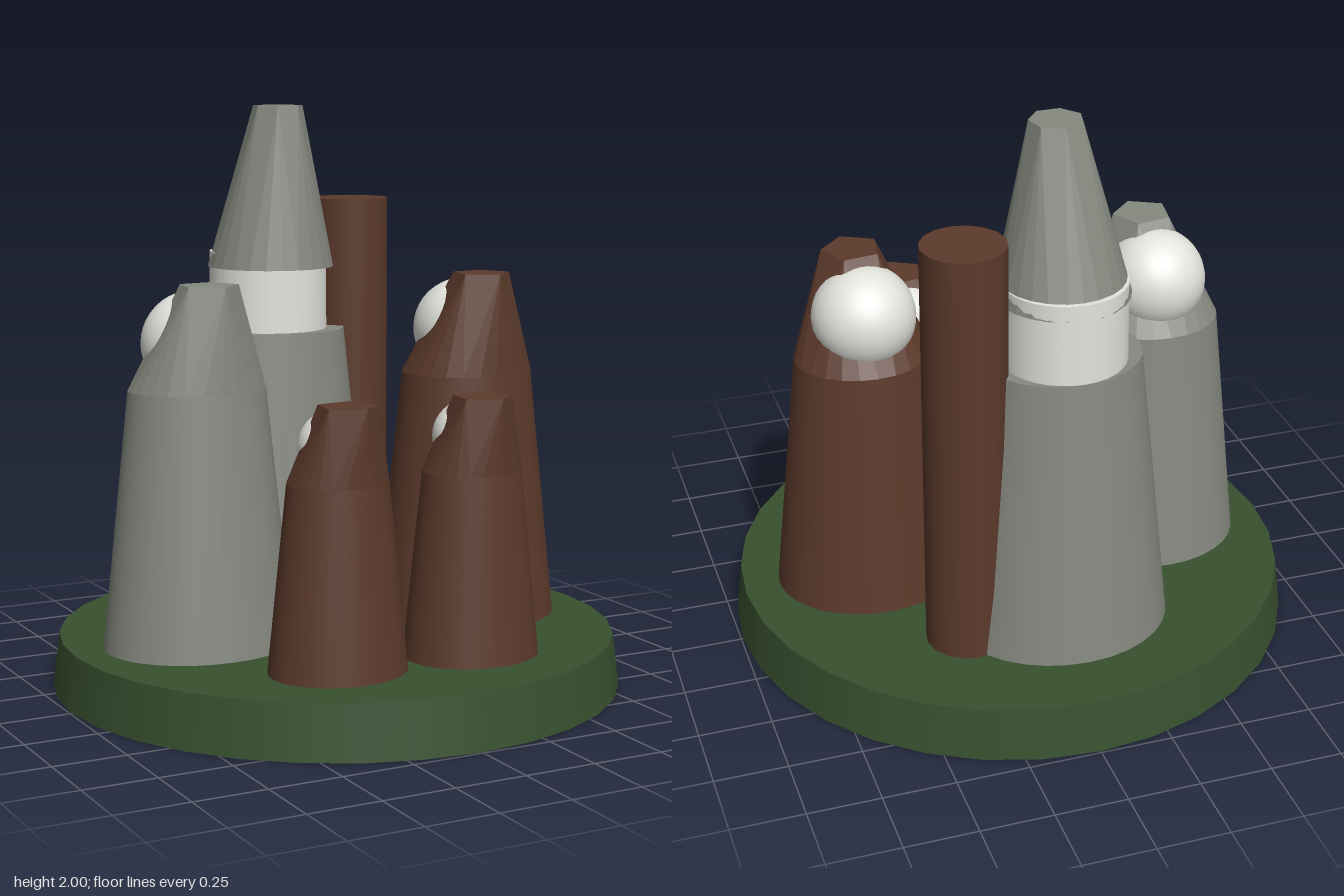
import * as THREE from 'three';
import { ConvexGeometry } from 'three/addons/geometries/ConvexGeometry.js';

const material = (name, color) => {
  const m = new THREE.MeshStandardMaterial({ color });
  m.name = name;
  return m;
};

export function createModel() {
  const green = material('moss green', 0x38512f);
  const brown = material('brown cloth', 0x5c3a2b);
  const grey = material('grey cloth', 0x868980);
  const white = material('pale head', 0xe4e4de);
  const GROUND = 0.185;

  const model = new THREE.Group();
  model.name = 'hoodedGroup';

  const add = (parent, name, geometry, mat, x = 0, y = 0, z = 0) => {
    const mesh = new THREE.Mesh(geometry, mat);
    mesh.name = name;
    mesh.position.set(x, y, z);
    parent.add(mesh);
    return mesh;
  };

  // Ring of points on an ellipse at one height
  const ring = (count, rx, rz, y, x = 0, z = 0, start = 0) =>
    Array.from({ length: count }, (_, i) => {
      const a = start + (i / count) * Math.PI * 2;
      return new THREE.Vector3(x + rx * Math.cos(a), y, z + rz * Math.sin(a));
    });

  // Tapered oval robe standing on the base
  const robe = (parent, mat, bottom, top, topY) => {
    const h = topY - GROUND;
    const mesh = add(parent, 'robe', new THREE.CylinderGeometry(top, bottom, h, 32), mat, 0, GROUND + h / 2, 0);
    mesh.scale.z = 0.86;
  };

  // Round base
  add(model, 'base', new THREE.CylinderGeometry(0.97, 0.993, GROUND, 32), green, 0, GROUND / 2, 0);

  // Hooded figures: the head pokes out of the back-leaning hood towards -z
  const hooded = (name, mat, x, z, d) => {
    const figure = new THREE.Group();
    figure.name = name;
    figure.position.set(x, 0, z);
    robe(figure, mat, d.bottom, d.top, d.seam);
    const points = [
      ...ring(24, d.top, d.top * 0.86, d.seam),
      ...ring(5, 0.103, 0.103, d.peak, 0.008, d.lean, 0.17),
    ];
    add(figure, 'hood', new ConvexGeometry(points), mat);
    add(figure, 'head', new THREE.SphereGeometry(d.head, 32, 20), white, 0, d.headY, d.headZ);
    model.add(figure);
  };
  const large = { bottom: 0.332, top: 0.238, seam: 1.065, peak: 1.42, lean: 0.085, head: 0.178, headY: 1.215, headZ: -0.025 };
  const small = { bottom: 0.237, top: 0.172, seam: 0.81, peak: 1.065, lean: 0.055, head: 0.122, headY: 0.922, headZ: -0.022 };
  hooded('greyFigure', grey, -0.527, 0, large);
  hooded('brownFigure', brown, 0.511, 0.027, large);
  hooded('smallFigureRight', brown, -0.268, 0.527, small);
  hooded('smallFigureLeft', brown, 0.229, 0.537, small);

  // Tall figure with a pointed hat
  const tall = new THREE.Group();
  tall.name = 'tallFigure';
  tall.position.set(-0.045, 0, -0.425);
  robe(tall, grey, 0.382, 0.272, 1.2);
  add(tall, 'head', new THREE.CylinderGeometry(0.21, 0.213, 0.4, 32), white, 0, 1.28, -0.02);
  add(tall, 'hat', new ConvexGeometry([
    ...ring(24, 0.226, 0.23, 1.425),
    ...ring(7, 0.09, 0.09, 2, 0.006, 0.055, -Math.PI / 2),
  ]), grey);
  model.add(tall);

  // Staff beside the tall figure
  add(model, 'staff', new THREE.CylinderGeometry(0.142, 0.142, 1.66 - GROUND, 16), brown, 0.3, (1.66 + GROUND) / 2, -0.47);

  return model;
}
